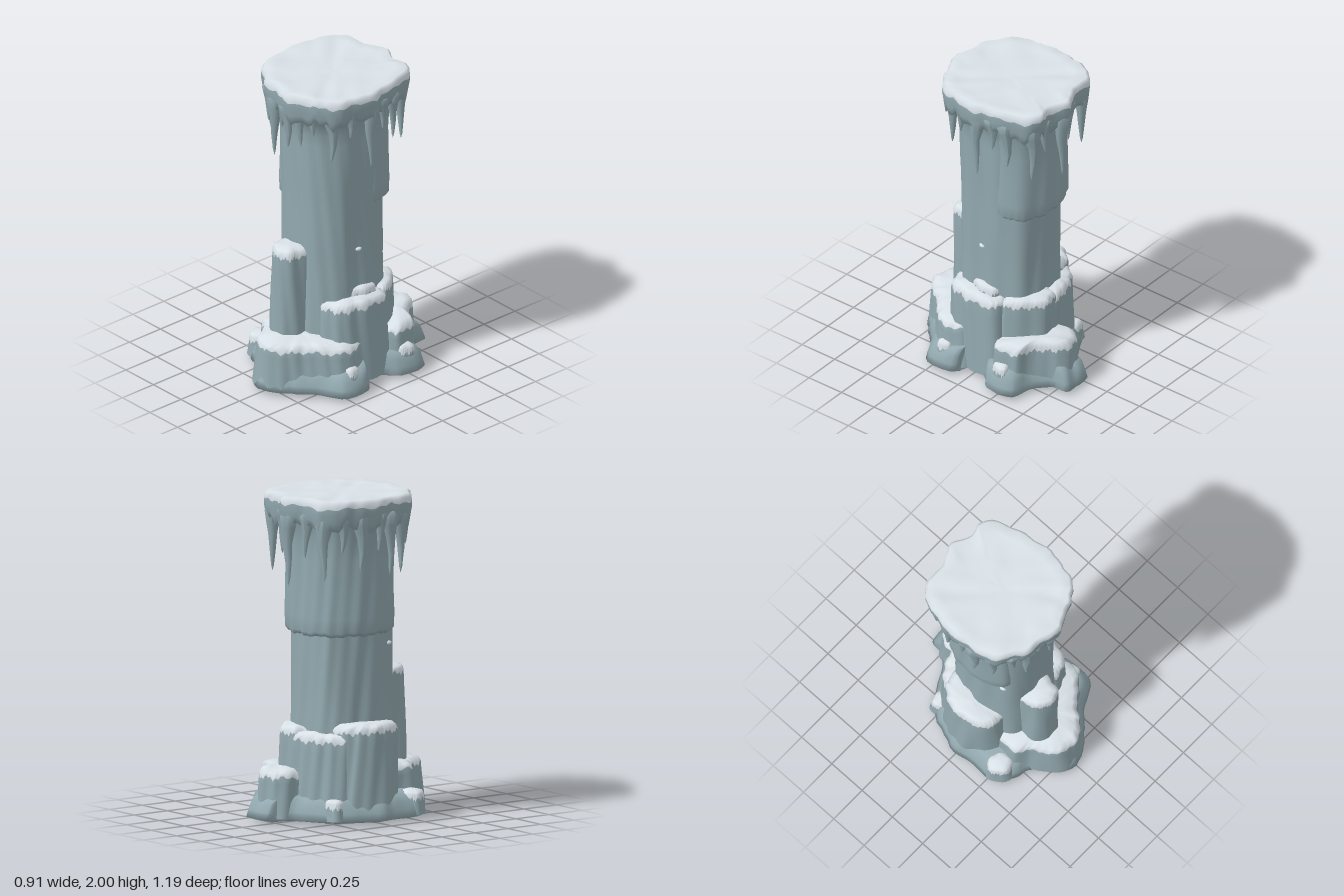
import * as THREE from 'three';

const ice = new THREE.MeshStandardMaterial({ color: 0x92a9af });
ice.name = 'blue grey ice';
const snow = new THREE.MeshStandardMaterial({ color: 0xdbe4ea });
snow.name = 'pale snow';

// Smooth repeatable bumps, stretched along y so they read as vertical flutes.
const flute = (x, y, z) =>
  Math.sin(x * 31 + y * 3 + 1.3) * Math.cos(z * 29 - y * 2) * 0.6 +
  Math.sin(x * 57 - z * 49 + y * 6) * 0.4;
const ragged = i => Math.sin(i * 1.7) * 0.5 + Math.sin(i * 0.61 + 2) * 0.5;

// Stack of rings that follow a closed outline of [x, z] points, running from +x to +z.
// rows: [scale, y, wobble]; from row snowRow upwards the faces are snow.
function shell(name, points, rows, snowRow = rows.length - 1, bump = 0.009, n = 96) {
  const curve = new THREE.CatmullRomCurve3(
    points.map(([x, z]) => new THREE.Vector3(x, 0, z)), true);
  const ring = curve.getPoints(n).slice(0, n);
  const cx = ring.reduce((s, p) => s + p.x, 0) / n;
  const cz = ring.reduce((s, p) => s + p.z, 0) / n;
  const pos = [], index = [];
  for (const [s, y, wobble = 0] of rows) {
    ring.forEach((p, i) => {
      const dx = p.x - cx, dz = p.z - cz;
      const k = s + Math.min(s, 1) * bump * flute(p.x, y, p.z) / Math.hypot(dx, dz);
      const x = cx + dx * k, z = cz + dz * k;
      const swell = s < 0.9 ? 0.012 * s * flute(x * 0.6, y, z * 0.6) : 0;
      pos.push(x, y + wobble * ragged(i) + swell, z);
    });
  }
  for (let r = 0; r < rows.length - 1; r++) {
    for (let i = 0; i < n; i++) {
      const a = r * n + i, b = r * n + (i + 1) % n;
      index.push(a, a + n, b, b, a + n, b + n);
    }
  }
  const g = new THREE.BufferGeometry();
  g.setAttribute('position', new THREE.Float32BufferAttribute(pos, 3));
  g.setIndex(index);
  const split = snowRow * n * 6;
  g.addGroup(0, split, 0);
  g.addGroup(split, index.length - split, 1);
  g.computeVertexNormals();
  const mesh = new THREE.Mesh(g, [ice, snow]);
  mesh.name = name;
  return mesh;
}

// Ice block with a flared foot and a rounded snow top.
function block(name, points, h, flare) {
  const rows = [];
  const low = 0.03, high = h - 0.045;
  for (let i = 0; i < 7; i++) {
    const t = i / 7;
    rows.push([1 + (flare - 1) * (1 - t) ** 1.2, low + (high - low) * t]);
  }
  rows.push([1, high, 0.018], [0.95, h - 0.018, 0.004], [0.82, h], [0.5, h + 0.008], [0, h + 0.01]);
  return shell(name, points, rows, 7, 0.012);
}

// Tapering icicle, wider along the rim than across it.
function icicle(x, z, tip, width) {
  const len = 1.92 - tip;
  const profile = [[0.001, 0], [0.18, 0.08], [0.38, 0.3], [0.58, 0.55], [0.85, 0.75], [1, 0.88], [0.7, 0.97], [0, 1]]
    .map(([r, t]) => new THREE.Vector2(r * width, t * len));
  const g = new THREE.LatheGeometry(profile, 10);
  const p = g.attributes.position;
  for (let i = 0; i < p.count; i++) {
    const y = p.getY(i);
    p.setX(i, p.getX(i) * (1 + 0.4 * y / len) + 0.008 * Math.sin(y * 18 + x * 20));
  }
  g.computeVertexNormals();
  const mesh = new THREE.Mesh(g, ice);
  mesh.name = 'icicle';
  mesh.position.set(x, tip, z);
  mesh.rotation.y = Math.atan2(x, z);
  return mesh;
}

export function createModel() {
  const model = new THREE.Group();
  model.name = 'icePillar';

  // Main shaft, flaring into the crown
  const shaft = [];
  for (let i = 0; i <= 22; i++) {
    const y = 0.1 + i * 0.08;
    shaft.push([1 + 0.07 * Math.max(0, (0.75 - y) / 0.6) + 0.06 * Math.max(0, (y - 1.2) / 0.6) +
      0.25 * Math.max(0, (y - 1.68) / 0.18) ** 2, y]);
  }
  model.add(shell('shaft', [[0.25, 0], [0.24, 0.14], [0.12, 0.26], [-0.02, 0.28], [-0.18, 0.25], [-0.25, 0.1],
    [-0.25, -0.08], [-0.18, -0.24], [0, -0.28], [0.17, -0.25], [0.24, -0.12]], shaft));

  // Thicker ice sheet overhanging the back and one side
  model.add(shell('overhang', [[0.2, -0.02], [-0.05, 0.2], [-0.22, 0.22], [-0.305, 0.09], [-0.31, -0.1],
    [-0.22, -0.27], [-0.05, -0.335], [0.08, -0.325], [0.2, -0.27], [0.25, -0.16]],
  [[0.78, 1.17], [0.93, 1.14, 0.008], [1, 1.165, 0.008], [1.01, 1.25], [1, 1.4], [1, 1.6], [1.03, 1.72],
    [1.1, 1.8], [1.2, 1.88]]));

  // Snowy crown
  model.add(shell('crown', [[0, -0.455], [0.13, -0.39], [0.2, -0.42], [0.28, -0.37], [0.33, -0.25], [0.36, -0.1],
    [0.38, 0], [0.355, 0.15], [0.32, 0.25], [0.25, 0.31], [0.17, 0.35], [0.02, 0.41], [-0.08, 0.38], [-0.2, 0.36],
    [-0.28, 0.31], [-0.37, 0.25], [-0.4, 0.1], [-0.42, 0], [-0.41, -0.15], [-0.38, -0.27], [-0.3, -0.38],
    [-0.12, -0.4]],
  [[0.8, 1.85], [0.9, 1.82, 0.025], [0.955, 1.815, 0.035], [0.98, 1.86, 0.02], [1, 1.91], [1, 1.945, 0.014],
    [0.995, 1.975, 0.006], [0.95, 1.993], [0.8, 1.988], [0.6, 1.983], [0.4, 1.988], [0.2, 1.983], [0, 1.983]], 5));

  // Icicles around the rim: x, z, tip height, root width
  const icicles = new THREE.Group();
  icicles.name = 'icicles';
  for (const a of [[-0.37, 0.09, 1.51, 0.045], [-0.38, 0, 1.66, 0.04], [-0.33, 0.2, 1.54, 0.045],
    [-0.25, 0.29, 1.66, 0.042], [-0.16, 0.325, 1.47, 0.05], [-0.07, 0.34, 1.7, 0.042], [0, 0.36, 1.6, 0.045],
    [0.08, 0.335, 1.63, 0.045], [0.17, 0.3, 1.72, 0.042], [0.26, 0.23, 1.55, 0.045], [0.31, 0.13, 1.7, 0.04],
    [0.335, -0.01, 1.46, 0.042], [0.32, -0.12, 1.68, 0.04], [0.3, -0.22, 1.58, 0.042], [0.22, -0.355, 1.5, 0.048],
    [0.11, -0.36, 1.64, 0.042], [0, -0.405, 1.44, 0.048], [-0.12, -0.36, 1.62, 0.042], [-0.27, -0.34, 1.5, 0.048],
    [-0.34, -0.25, 1.66, 0.042], [-0.37, -0.13, 1.55, 0.045]]) icicles.add(icicle(...a));
  model.add(icicles);

  // Spreading foot
  model.add(shell('foot', [[0.44, -0.17], [0.36, -0.09], [0.36, 0.06], [0.44, 0.09], [0.445, 0.29], [0.3, 0.37],
    [0.2, 0.46], [0.12, 0.53], [0, 0.59], [-0.13, 0.53], [-0.21, 0.41], [-0.3, 0.38], [-0.42, 0.28], [-0.43, 0.1],
    [-0.45, 0], [-0.4, -0.15], [-0.32, -0.3], [-0.12, -0.42], [-0.04, -0.5], [-0.02, -0.585], [0.08, -0.595],
    [0.18, -0.585], [0.2, -0.48], [0.32, -0.39], [0.44, -0.36]],
  [[0, 0], [0.9, 0.012], [1, 0.025], [0.975, 0.07], [0.94, 0.12, 0.01], [0.87, 0.16, 0.01], [0.75, 0.18], [0, 0.18]]));

  // Front terrace and the tall column standing on it
  model.add(block('frontTerrace', [[0.35, 0.08], [0.365, 0.24], [0.28, 0.33], [0.18, 0.42], [0.12, 0.5],
    [0, 0.56], [-0.12, 0.5], [-0.19, 0.39], [-0.27, 0.32], [-0.22, 0.1], [0.1, 0]], 0.33, 1.09));
  model.add(block('frontColumn', [[0.06, 0.2], [0.06, 0.34], [0.02, 0.405], [-0.08, 0.415], [-0.135, 0.36],
    [-0.14, 0.2]], 0.9, 1.06));

  // Tall blocks leaning on both sides
  model.add(block('rightBlock', [[-0.15, -0.2], [-0.18, 0.17], [-0.28, 0.19], [-0.36, 0.13], [-0.4, 0.02],
    [-0.38, -0.12], [-0.3, -0.21]], 0.6, 1.1));
  model.add(block('leftBlock', [[0.33, -0.14], [0.345, 0.08], [0.3, 0.21], [0.18, 0.24], [0.1, 0.1],
    [0.15, -0.15]], 0.57, 1.1));
  model.add(block('leftPeak', [[0.28, -0.1], [0.28, 0.05], [0.2, 0.1], [0.14, 0], [0.18, -0.12]], 0.62, 1.1));

  // Blocks wrapping the back
  model.add(block('backBlock', [[0.28, -0.17], [0.12, -0.1], [-0.04, -0.15], [0, -0.35], [0.12, -0.37],
    [0.22, -0.29]], 0.57, 1.12));
  model.add(block('backRightBlock', [[0.06, -0.2], [-0.2, 0], [-0.34, -0.1], [-0.27, -0.27],
    [-0.12, -0.34], [0.04, -0.35]], 0.54, 1.12));
  model.add(block('backTerrace', [[0.36, -0.17], [0.1, -0.15], [-0.04, -0.3], [-0.03, -0.5], [0.07, -0.53],
    [0.165, -0.51], [0.2, -0.43], [0.28, -0.37], [0.36, -0.33]], 0.32, 1.09));

  // Low snowy ledges around the foot
  for (const [x, z, h, r] of [[0.37, 0.18, 0.18, 0.055], [0.375, -0.25, 0.19, 0.055], [-0.34, 0.27, 0.17, 0.075],
    [-0.28, -0.26, 0.15, 0.06]]) {
    model.add(block('ledge', [[x + r, z], [x + r * 0.6, z + r * 0.8], [x - r * 0.6, z + r * 0.9], [x - r, z],
      [x - r * 0.7, z - r * 0.7], [x + r * 0.7, z - r * 0.8]], h, 1.2));
  }

  // Tufts of snow caught on the shaft
  for (const [x, y, z] of [[-0.215, 1.065, 0.185], [0.24, 0.88, 0.01]]) {
    const tuft = new THREE.Mesh(new THREE.SphereGeometry(0.025, 12, 8), snow);
    tuft.name = 'snowTuft';
    tuft.scale.y = 0.6;
    tuft.position.set(x, y, z);
    model.add(tuft);
  }
  return model;
}
